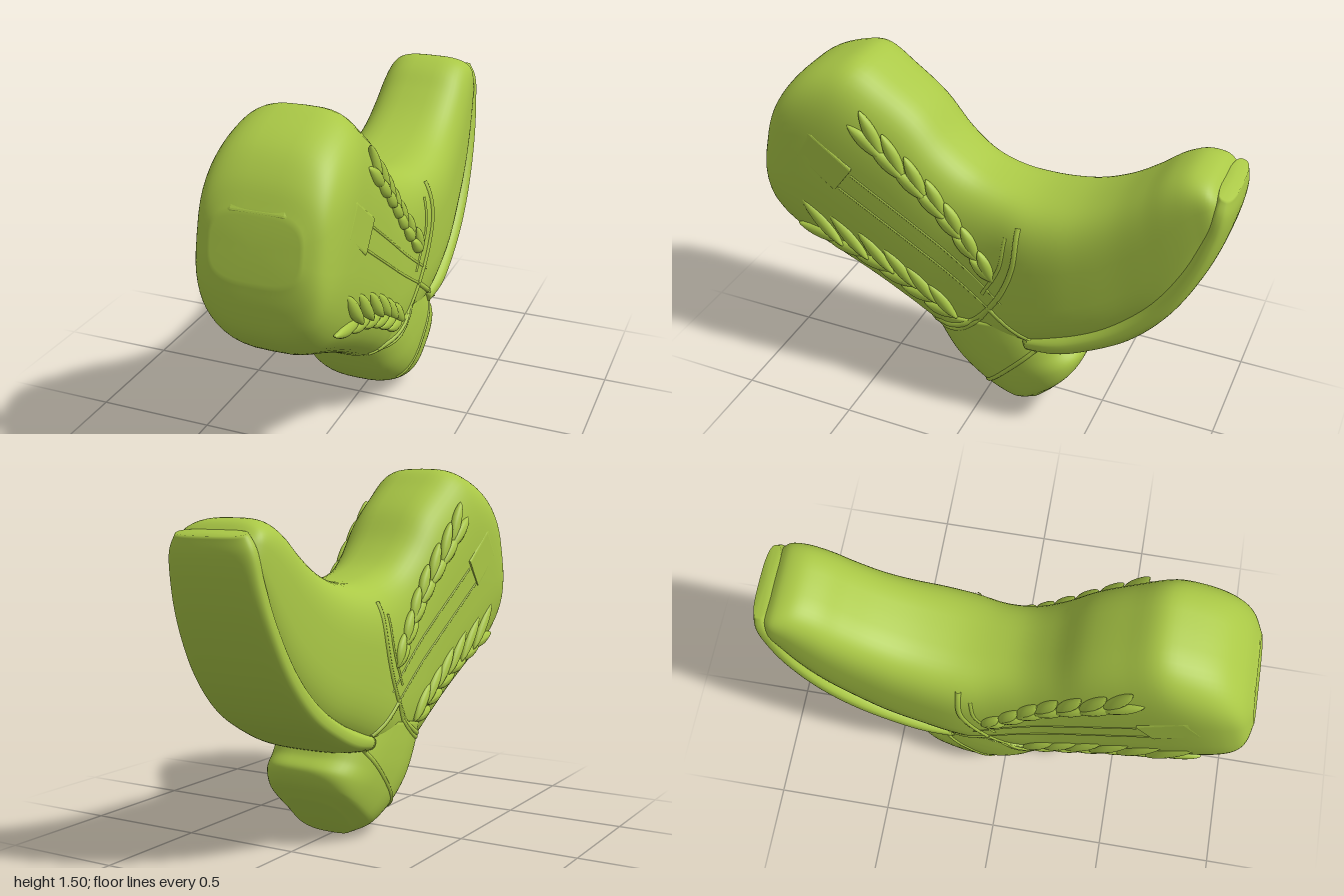
import * as THREE from 'three';

const RING = 56;

// Smooth closed solid: each section is [frontZ, frontY, backZ, backY, halfWidth]
function loft(sections, steps, power) {
  const curve = (f) => new THREE.CatmullRomCurve3(sections.map(f));
  const a = curve((s) => new THREE.Vector3(s[4], s[1], s[0]));
  const b = curve((s) => new THREE.Vector3(s[4], s[3], s[2]));
  const pos = [], index = [];
  const bend = (v) => Math.sign(v) * Math.abs(v) ** (2 / power);
  // The foot leans slightly to one side
  const push = (x, y, z) => pos.push(x + 0.018 * THREE.MathUtils.smoothstep(-z, -0.1, 0.4), y, z);
  for (let i = 0; i <= steps; i++) {
    const p = a.getPoint(i / steps), q = b.getPoint(i / steps);
    for (let j = 0; j < RING; j++) {
      const t = (j / RING) * Math.PI * 2;
      const k = (1 - bend(Math.cos(t))) / 2;
      push(p.x * bend(Math.sin(t)), p.y + (q.y - p.y) * k, p.z + (q.z - p.z) * k);
    }
  }
  for (const t of [0, 1]) {
    const m = a.getPoint(t).lerp(b.getPoint(t), 0.5);
    push(0, m.y, m.z);
  }
  const first = (steps + 1) * RING, last = first + 1;
  for (let j = 0; j < RING; j++) {
    const n = (j + 1) % RING;
    for (let i = 0; i < steps; i++) {
      const r = i * RING, s = r + RING;
      index.push(r + j, r + n, s + j, r + n, s + n, s + j);
    }
    index.push(first, n, j, last, steps * RING + j, steps * RING + n);
  }
  const geo = new THREE.BufferGeometry();
  geo.setAttribute('position', new THREE.Float32BufferAttribute(pos, 3));
  geo.setIndex(index);
  geo.computeVertexNormals();
  return geo;
}

export function createModel() {
  const boot = new THREE.Group();
  boot.name = 'boot';
  const green = new THREE.MeshStandardMaterial({ color: 0xaac846 });
  green.name = 'lime green';
  const add = (geo, name, parent = boot) => {
    const mesh = new THREE.Mesh(geo, green);
    mesh.name = name;
    parent.add(mesh);
    return mesh;
  };

  // Shaft and foot in one sweep, from the closed shaft end to the toe
  const upper = add(loft([
    [0.955, 1.22, 1.0, 0.99, 0.17], [0.89, 1.335, 0.998, 0.88, 0.235],
    [0.8, 1.425, 0.98, 0.785, 0.262], [0.67, 1.483, 0.94, 0.72, 0.274],
    [0.555, 1.5, 0.86, 0.65, 0.274], [0.43, 1.425, 0.7, 0.57, 0.266],
    [0.295, 1.325, 0.5, 0.47, 0.255], [0.175, 1.19, 0.34, 0.38, 0.245],
    [0.06, 1.105, 0.2, 0.3, 0.238], [-0.06, 1.065, 0.02, 0.28, 0.242],
    [-0.18, 1.05, -0.2, 0.34, 0.26], [-0.3, 1.06, -0.37, 0.41, 0.258],
    [-0.42, 1.09, -0.53, 0.48, 0.246], [-0.54, 1.145, -0.66, 0.575, 0.232],
    [-0.65, 1.22, -0.77, 0.69, 0.222], [-0.74, 1.29, -0.86, 0.84, 0.212],
    [-0.82, 1.322, -0.92, 0.99, 0.2], [-0.89, 1.312, -0.96, 1.1, 0.186],
    [-0.94, 1.27, -0.98, 1.18, 0.15],
  ], 90, 3.2), 'shaftAndFoot');

  // Sole ledge curling up to the toe
  const sole = add(loft([
    [-0.2, 0.45, -0.24, 0.36, 0.235], [-0.3, 0.485, -0.38, 0.385, 0.246],
    [-0.42, 0.535, -0.51, 0.443, 0.245], [-0.58, 0.635, -0.68, 0.55, 0.238],
    [-0.72, 0.775, -0.82, 0.71, 0.228], [-0.83, 0.96, -0.928, 0.92, 0.214],
    [-0.885, 1.12, -0.98, 1.08, 0.199], [-0.91, 1.235, -0.998, 1.195, 0.184],
    [-0.925, 1.283, -0.992, 1.262, 0.155],
  ], 48, 2.8), 'sole');

  // Heel block
  const heel = add(loft([
    [-0.3, 0.5, 0.28, 0.42, 0.235], [-0.36, 0.41, 0.225, 0.3, 0.238],
    [-0.385, 0.365, 0.15, 0.19, 0.236], [-0.428, 0.32, 0.03, 0.085, 0.225],
    [-0.42, 0.26, -0.1, 0.02, 0.2], [-0.36, 0.17, -0.19, -0.001, 0.13],
  ], 36, 2.9), 'heel');

  // Finds the outside of the boot on one side at a given z and y
  const ray = new THREE.Raycaster();
  const surface = (z, y, side) => {
    ray.set(new THREE.Vector3(side, y, z), new THREE.Vector3(-side, 0, 0));
    const hit = ray.intersectObjects([upper, sole, heel], false)[0];
    return hit ? hit.point : null;
  };

  // Pull strap wrapped over the shaft end
  const half = [[0.264, 0], [0.266, 0.2], [0.252, 0.3], [0.21, 0.366], [0.1, 0.4]];
  const outline = new THREE.Shape([
    ...half, ...half.map(([x, y]) => [-x, y]).reverse(),
  ].map(([x, y]) => new THREE.Vector2(x, y)));
  const strap = add(new THREE.ExtrudeGeometry(outline, {
    depth: 0.125, bevelThickness: 0.012, bevelSize: 0.009, bevelSegments: 3,
  }), 'pullStrap');
  const right = new THREE.Vector3(1, 0, 0);
  const along = new THREE.Vector3(0, 0.6, 0.8);
  strap.quaternion.setFromRotationMatrix(
    new THREE.Matrix4().makeBasis(right, along, right.clone().cross(along)));
  strap.position.set(0, 1.09, 0.545);

  // Leaf with tapering ends, lying along z
  const leafGeo = new THREE.SphereGeometry(1, 14, 12).rotateX(Math.PI / 2);
  const lp = leafGeo.attributes.position;
  for (let i = 0; i < lp.count; i++) lp.setY(i, lp.getY(i) * (1 - 0.5 * lp.getZ(i) ** 2));
  leafGeo.computeVertexNormals();

  const line = (pts) => new THREE.CatmullRomCurve3(pts.map(([z, y]) => new THREE.Vector3(0, y, z)));
  const branches = [
    { stem: [[-0.08, 0.7], [0.14, 0.94], [0.4, 1.17]], rows: [[1.1, 0.22], [0.68, 0.2]], count: 7 },
    { stem: [[0.1, 0.45], [0.33, 0.59], [0.62, 0.7]], rows: [[0.85, 0.28], [0.2, 0.23]], count: 6 },
  ];
  const ridges = [
    ['ankleSeam', [[-0.18, 0.97], [-0.17, 0.8], [-0.09, 0.6], [0.05, 0.43], [0.22, 0.36]], 0.014],
    ['ankleSeam', [[-0.13, 0.92], [-0.11, 0.78], [-0.03, 0.62]], 0.009],
    ['sideSeam', [[0.6, 0.99], [0.25, 0.76], [-0.08, 0.54]], 0.006],
    ['sideSeam', [[0.54, 1.06], [0.2, 0.83], [-0.12, 0.6]], 0.006],
    ['instepSeam', [[-0.05, 0.56], [-0.16, 0.48], [-0.24, 0.43]], 0.013],
    ['heelSeam', [[-0.02, 0.1], [-0.14, 0.24], [-0.28, 0.4]], 0.011],
    ['heelTopSeam', [[0.25, 0.35], [0.1, 0.38], [0, 0.46], [-0.06, 0.55]], 0.011],
  ];

  for (const side of [1, -1]) {
    const trim = new THREE.Group();
    trim.name = side > 0 ? 'leftTrim' : 'rightTrim';
    boot.add(trim);

    // Raised seams following the surface
    for (const [name, pts, radius] of ridges) {
      const path = line(pts).getPoints(20).map((p) => surface(p.z, p.y, side)).filter(Boolean);
      for (const p of path) p.x -= side * radius * 0.45;
      add(new THREE.TubeGeometry(new THREE.CatmullRomCurve3(path), 40, radius, 8), name, trim);
    }

    // Two leafy sprigs, each with two rows of leaves
    for (const { stem, rows, count } of branches) {
      const curve = line(stem);
      for (const [angle, length] of rows) {
        for (let i = 0; i < count; i++) {
          const t = i / (count - 1);
          const size = length * (0.7 + 0.3 * t);
          const p = curve.getPoint(t);
          const z = p.z + Math.cos(angle) * size * 0.45;
          const y = p.y + Math.sin(angle) * size * 0.45;
          const at = surface(z, y, side);
          if (!at) continue;
          const leaf = add(leafGeo, 'leaf', trim);
          leaf.position.copy(at);
          leaf.scale.set(0.022, 0.03, size / 2);
          leaf.rotation.x = -angle;
        }
      }
    }
  }
  return boot;
}
